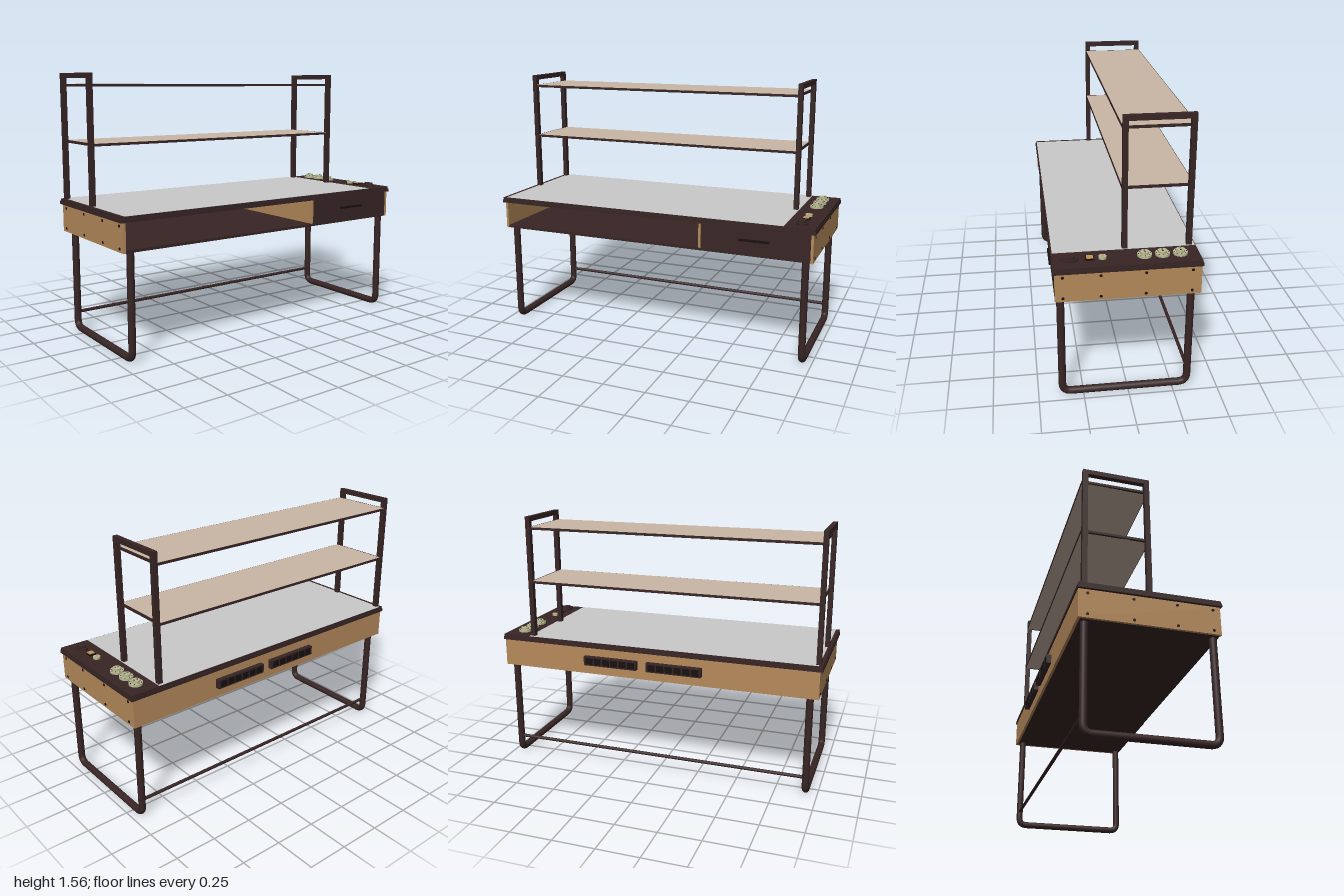
import * as THREE from 'three';

const mat = (name, color) => {
  const m = new THREE.MeshStandardMaterial({ color });
  m.name = name;
  return m;
};

export function createModel() {
  const dark = mat('dark brown metal', 0x382525);
  const black = mat('black plastic', 0x171010);
  const wood = mat('wood', 0xb58a5b);
  const grey = mat('grey worktop', 0xcacaca);
  const tan = mat('tan shelf', 0xcab6a5);
  const olive = mat('pale olive plastic', 0xb9ba92);
  const amber = mat('amber plastic', 0xc4925a);

  const model = new THREE.Group();
  model.name = 'workbench';
  const add = (name, geo, material, x = 0, y = 0, z = 0) => {
    const m = new THREE.Mesh(geo, material);
    m.name = name;
    m.position.set(x, y, z);
    model.add(m);
    return m;
  };
  // Box given by its minimum and maximum on each axis
  const box = (name, material, x0, x1, y0, y1, z0, z1) =>
    add(name, new THREE.BoxGeometry(x1 - x0, y1 - y0, z1 - z0), material,
      (x0 + x1) / 2, (y0 + y1) / 2, (z0 + z1) / 2);
  // Upright cylinder standing on y
  const disc = (name, material, r, h, x, y, z) =>
    add(name, new THREE.CylinderGeometry(r, r, h, 24), material, x, y + h / 2, z);

  // Worktop: slab, upper rim, inset grey surface
  box('worktopSlab', dark, -1, 1, 0.785, 0.804, -0.385, 0.405);
  box('worktopRim', dark, -0.997, 0.997, 0.804, 0.818, -0.381, 0.401);
  box('worktopSurface', grey, -0.974, 0.82, 0.814, 0.8195, -0.377, 0.397);

  // Cabinet: floor, back, sides, divider and drawer
  box('cabinetFloor', dark, -0.97, 0.975, 0.62, 0.636, -0.365, 0.392);
  box('backPanel', wood, -0.97, 0.975, 0.62, 0.785, -0.38, -0.365);
  box('rightSidePanel', wood, -0.985, -0.97, 0.62, 0.785, -0.38, 0.397);
  box('leftSidePanel', wood, 0.975, 0.99, 0.62, 0.785, -0.38, 0.397);
  box('divider', wood, 0.322, 0.336, 0.636, 0.785, -0.365, 0.395);
  box('drawerFront', dark, 0.338, 0.974, 0.622, 0.783, 0.38, 0.396);
  box('drawerHandle', black, 0.565, 0.745, 0.709, 0.72, 0.396, 0.411);

  // Screws on both side panels
  for (const x of [-0.985, 0.99])
    for (const z of [0.355, 0.155, -0.083, -0.33])
      for (const y of [0.641, 0.763]) {
        const s = new THREE.CylinderGeometry(0.008, 0.008, 0.006, 12);
        s.rotateZ(Math.PI / 2);
        add('screw', s, black, x, y, z);
      }

  // Bent tube legs: one U at each end
  const zf = 0.367, zb = -0.335, yb = 0.022, c = 0.05;
  const v = (y, z) => new THREE.Vector3(0, y, z);
  const path = new THREE.CurvePath();
  path.add(new THREE.LineCurve3(v(0.625, zf), v(yb + c, zf)));
  path.add(new THREE.QuadraticBezierCurve3(v(yb + c, zf), v(yb, zf), v(yb, zf - c)));
  path.add(new THREE.LineCurve3(v(yb, zf - c), v(yb, zb + c)));
  path.add(new THREE.QuadraticBezierCurve3(v(yb, zb + c), v(yb, zb), v(yb + c, zb)));
  path.add(new THREE.LineCurve3(v(yb + c, zb), v(0.625, zb)));
  for (const x of [-0.931, 0.945])
    add('legFrame', new THREE.TubeGeometry(path, 160, 0.021, 16), dark, x);

  // Stretcher between the back legs
  const bar = new THREE.CylinderGeometry(0.01, 0.01, 1.876, 12);
  bar.rotateZ(Math.PI / 2);
  add('stretcher', bar, dark, 0.007, 0.115, zb);

  // Shelf rack: square-bar frame at each end
  for (const x of [-0.985, 0.787]) {
    box('rackFrontPost', dark, x, x + 0.028, 0.81, 1.56, -0.008, 0.021);
    box('rackBackPost', dark, x, x + 0.028, 0.81, 1.56, -0.362, -0.332);
    box('rackTopBar', dark, x, x + 0.028, 1.531, 1.56, -0.332, -0.008);
  }
  // Shelves: tan board in a thin dark edge
  for (const y of [1.155, 1.484]) {
    box('shelfBoard', tan, -0.955, 0.785, y, y + 0.015, -0.361, 0.018);
    box('shelfFrontEdge', dark, -0.957, 0.787, y, y + 0.0145, 0.018, 0.021);
    box('shelfBackEdge', dark, -0.957, 0.787, y, y + 0.0145, -0.364, -0.361);
    for (const x of [-0.963, 0.781])
      box('shelfEndBar', dark, x, x + 0.012, y, y + 0.0145, -0.34, 0);
  }

  // Control console: three round sockets with pin holes
  const cx = 0.905, top = 0.818;
  for (const z of [-0.278, -0.182, -0.086]) {
    disc('socketBase', olive, 0.039, 0.014, cx, top, z);
    disc('socketRing', olive, 0.024, 0.027, cx, top, z);
    for (const s of [-1, 1])
      disc('socketPinHole', black, 0.0045, 0.002, cx + s * 0.01, top + 0.026, z);
    for (let i = 0; i < 8; i++) {
      const a = (i * Math.PI) / 4;
      disc('socketNotch', black, 0.003, 0.002, cx + 0.032 * Math.cos(a), top + 0.013,
        z + 0.032 * Math.sin(a));
    }
  }
  // Push button, square switch and dark oval control
  disc('buttonRing', olive, 0.021, 0.014, cx, top, 0.137);
  disc('buttonCentre', amber, 0.008, 0.016, cx, top, 0.137);
  box('switchBase', black, cx - 0.02, cx + 0.02, top, 0.828, 0.182, 0.228);
  box('switchCap', amber, cx - 0.017, cx + 0.017, 0.828, 0.832, 0.187, 0.223);
  disc('controlBase', dark, 0.047, 0.012, cx, top, 0.312).scale.x = 0.7;
  disc('controlKnob', dark, 0.032, 0.023, cx, top, 0.312).scale.x = 0.7;

  // Power strips on the back with six outlets each
  for (const x of [-0.305, 0.097]) {
    box('powerStrip', dark, x, x + 0.34, 0.68, 0.735, -0.408, -0.38);
    for (let i = 0; i < 6; i++) {
      const o = x + 0.012 + i * 0.054;
      box('outlet', black, o, o + 0.044, 0.688, 0.727, -0.41, -0.406);
    }
  }
  return model;
}
